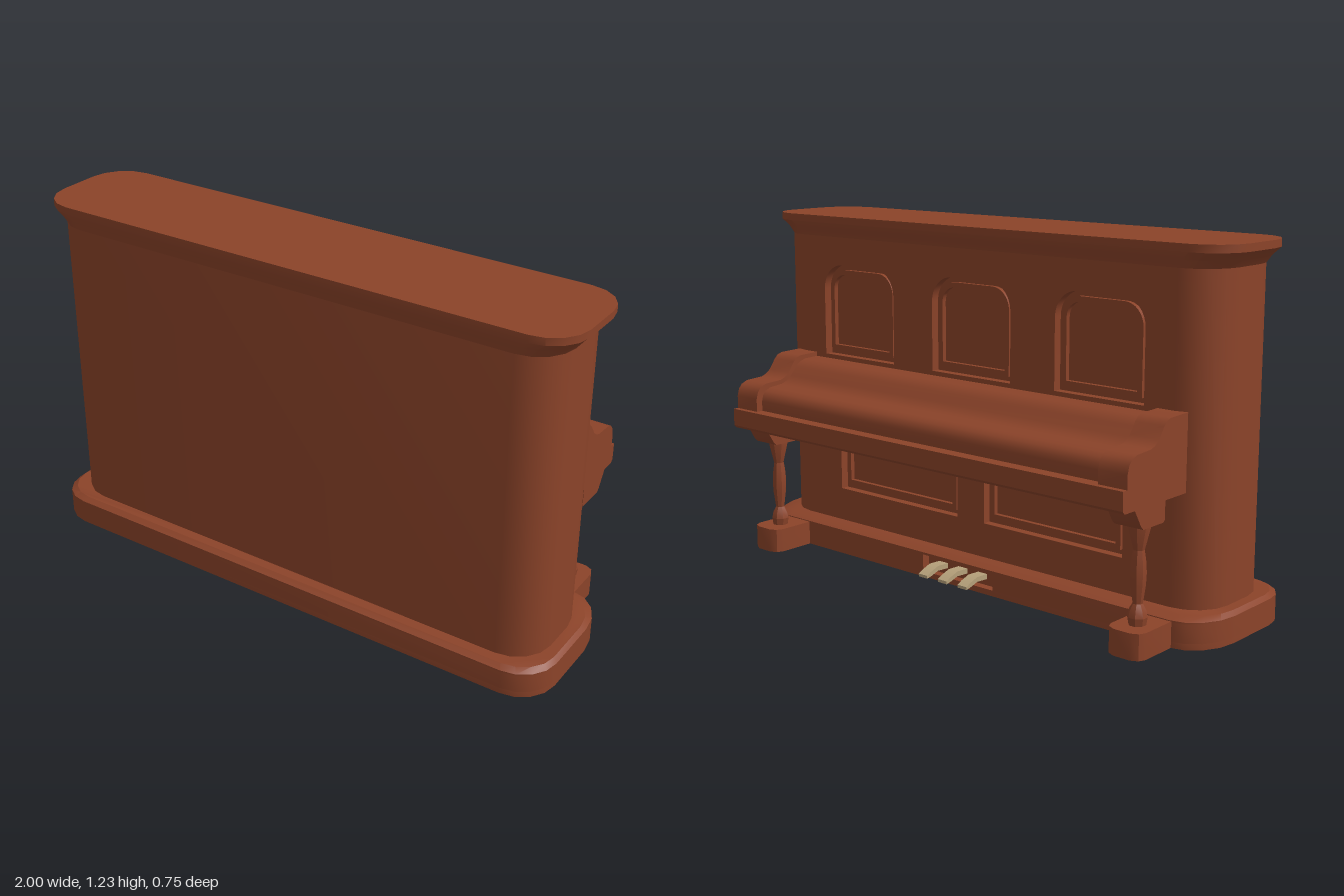
import * as THREE from 'three';
import { toCreasedNormals } from 'three/addons/utils/BufferGeometryUtils.js';

const wood = new THREE.MeshStandardMaterial({ color: 0x8b4329 });
const brass = new THREE.MeshStandardMaterial({ color: 0xb5a07a });

// Rounded plan outline in x/z, optionally with a rectangular notch in the keyboard side
function plan(hx, z0, z1, rx, rFront, rBack, notch) {
  const pts = [];
  [[1, 1], [-1, 1], [-1, -1], [1, -1]].forEach(([sx, sz], k) => {
    const rz = sz > 0 ? rFront : rBack;
    const cx = sx * (hx - rx), cz = sz > 0 ? z1 - rz : z0 + rz;
    for (let i = 0; i <= 4; i++) {
      const a = (k + i / 4) * Math.PI / 2;
      pts.push([cx + rx * Math.cos(a), cz + rz * Math.sin(a)]);
    }
    if (k === 2 && notch) {
      const [w, d] = notch;
      pts.push([-w, z0], [-w, z0 + d], [w, z0 + d], [w, z0]);
    }
  });
  return pts;
}

const toShape = pts => new THREE.Shape(pts.map(p => new THREE.Vector2(p[0], p[1])));
const extrude = (shape, depth) =>
  new THREE.ExtrudeGeometry(shape, { depth, bevelEnabled: false, curveSegments: 4 });

// Upright extrusion of an x/z outline
function slab(pts, y0, y1) {
  const g = extrude(toShape(pts), y1 - y0).rotateX(Math.PI / 2).translate(0, y1, 0);
  return toCreasedNormals(g, 0.5);
}

// Sideways extrusion of a profile given as [-z, y]
function sideways(pts, x0, x1) {
  const g = extrude(toShape(pts), x1 - x0).rotateY(Math.PI / 2).translate(x0, 0, 0);
  return toCreasedNormals(g, 0.6);
}

// Skin over convex outlines stacked at given heights
function loft(levels) {
  const n = levels[0].pts.length, pos = [], idx = [];
  levels.forEach(l => l.pts.forEach(p => pos.push(p[0], l.y, p[1])));
  for (let r = 0; r < levels.length - 1; r++)
    for (let j = 0; j < n; j++) {
      const a = r * n + j, b = r * n + (j + 1) % n;
      idx.push(a, a + n, b, b, a + n, b + n);
    }
  const top = (levels.length - 1) * n;
  for (let j = 1; j < n - 1; j++) {
    idx.push(0, j, j + 1);
    idx.push(top, top + j + 1, top + j);
  }
  const g = new THREE.BufferGeometry();
  g.setAttribute('position', new THREE.Float32BufferAttribute(pos, 3));
  g.setIndex(idx);
  return toCreasedNormals(g, 0.5);
}

// Panel outline with rounded upper corners, shrunk by inset
function panelPath(Type, { x, y0, y1, w, r }, inset = 0) {
  const l = x - w / 2 + inset, rt = x + w / 2 - inset;
  const b = y0 + inset, t = y1 - inset, c = Math.max(r - inset, 0);
  const p = new Type();
  p.moveTo(l, b);
  p.lineTo(rt, b);
  p.lineTo(rt, t - c);
  if (c) p.absarc(rt - c, t - c, c, 0, Math.PI / 2);
  p.lineTo(l + c, t);
  if (c) p.absarc(l + c, t - c, c, Math.PI / 2, Math.PI);
  p.closePath();
  return p;
}

export function createModel() {
  const group = new THREE.Group();
  const add = (name, geo, mat = wood) => {
    const m = new THREE.Mesh(geo, mat);
    m.name = name;
    group.add(m);
    return m;
  };

  // Plinth in layers, the middle one open for the pedals
  const basePlan = notch => plan(1, -0.13, 0.375, 0.13, 0.13, 0.165, notch);
  add('plinthBottom', slab(basePlan(), 0, 0.02));
  add('plinth', slab(basePlan([0.16, 0.03]), 0.02, 0.08));
  add('plinthTop', loft([
    { y: 0.08, pts: basePlan() },
    { y: 0.088, pts: basePlan() },
    { y: 0.1, pts: plan(0.985, -0.1, 0.355, 0.125, 0.12, 0.15) },
  ]));

  // Case, set back where the panelled face fits
  const face = -0.06, deep = 0.03;
  add('case', slab(plan(0.95, face, 0.32, 0.13, 0.13, 0.13, [0.819, deep]), 0.1, 1.15));

  // Panelled face: three arched panels above, two plain ones below
  const panels = [
    ...[-0.535, 0, 0.535].map(x => ({ x, y0: 0.72, y1: 1.05, w: 0.35, r: 0.09 })),
    ...[-0.35, 0.35].map(x => ({ x, y0: 0.22, y1: 0.45, w: 0.58, r: 0 })),
  ];
  const front = toShape([[-0.82, 0.1], [0.82, 0.1], [0.82, 1.15], [-0.82, 1.15]]);
  front.holes = panels.map(p => panelPath(THREE.Path, p));
  add('panelledFace', toCreasedNormals(extrude(front, deep).translate(0, 0, face), 0.5));
  for (const p of panels) {
    const frame = panelPath(THREE.Shape, p, 0.018);
    frame.holes = [panelPath(THREE.Path, p, 0.036)];
    add('panelMoulding', toCreasedNormals(extrude(frame, 0.016).translate(0, 0, face + 0.014), 0.5));
  }

  // Flared cornice and top board
  const topPlan = plan(0.995, -0.077, 0.33, 0.13, 0.13, 0.13);
  add('cornice', loft([
    { y: 1.15, pts: plan(0.95, -0.06, 0.32, 0.13, 0.13, 0.13) },
    { y: 1.175, pts: plan(0.968, -0.066, 0.324, 0.13, 0.13, 0.13) },
    { y: 1.2, pts: topPlan },
    { y: 1.225, pts: topPlan },
  ]));

  // Key bed and closed fallboard
  add('keyBed', sideways([[0.05, 0.47], [0.365, 0.47], [0.375, 0.48], [0.375, 0.54], [0.05, 0.54]], -0.865, 0.865));
  add('fallboard', sideways([
    [0.05, 0.54], [0.33, 0.54], [0.33, 0.575], [0.325, 0.595], [0.313, 0.61], [0.29, 0.62],
    [0.235, 0.625], [0.21, 0.634], [0.19, 0.65], [0.165, 0.68], [0.145, 0.695], [0.12, 0.703], [0.05, 0.705],
  ], -0.76, 0.76));

  // Cheeks, brackets, legs and feet on both sides
  const cheek = [
    [0.05, 0.54], [0.355, 0.54], [0.355, 0.585], [0.348, 0.61], [0.335, 0.626], [0.31, 0.636],
    [0.24, 0.64], [0.22, 0.647], [0.2, 0.662], [0.175, 0.698], [0.16, 0.712], [0.14, 0.718], [0.05, 0.72],
  ];
  const bracket = [[0.16, 0.47], [0.16, 0.41], [0.168, 0.403], [0.27, 0.403], [0.282, 0.415], [0.315, 0.47]];
  const legProfile = [
    [0, 0.08], [0.027, 0.08], [0.032, 0.11], [0.028, 0.13], [0.016, 0.152], [0.024, 0.21], [0.026, 0.25],
    [0.023, 0.29], [0.018, 0.32], [0.035, 0.39], [0.035, 0.405], [0, 0.405],
  ].map(p => new THREE.Vector2(...p));
  for (const s of [-1, 1]) {
    const x0 = s > 0 ? 0.76 : -0.865, x1 = x0 + 0.105, mid = s * 0.812;
    add('cheek', sideways(cheek, x0, x1));
    add('legBracket', sideways(bracket, x0, x1));
    const leg = toCreasedNormals(new THREE.LatheGeometry(legProfile, 8).rotateY(Math.PI / 8), 0.3);
    add('leg', leg).position.set(mid, 0, -0.215);
    const h = 0.065, c = 0.035;
    add('foot', slab([
      [mid - h, -0.11], [mid - h, -0.295 + c], [mid - h + 0.01, -0.283], [mid - h + c, -0.295],
      [mid + h - c, -0.295], [mid + h - 0.01, -0.283], [mid + h, -0.295 + c], [mid + h, -0.11],
    ], 0, 0.085));
  }

  // Three pedals
  const pedal = [[0.095, 0.042], [0.15, 0.045], [0.185, 0.034], [0.205, 0.03], [0.205, 0.04], [0.185, 0.05], [0.15, 0.062], [0.095, 0.06]];
  for (const x of [-0.09, 0, 0.09]) add('pedal', sideways(pedal, x - 0.02, x + 0.02), brass);

  return group;
}
